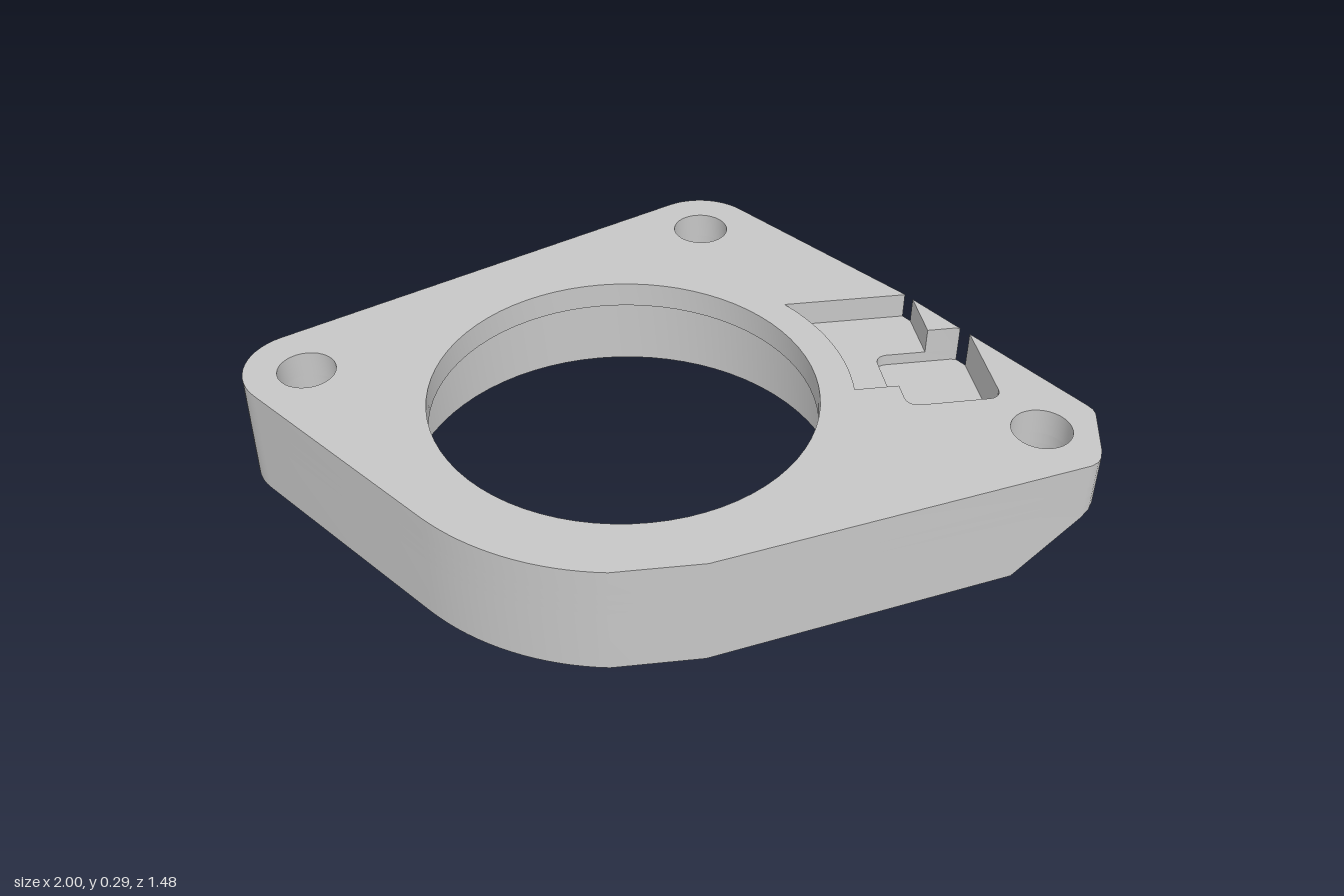
import * as THREE from 'three';
import { toCreasedNormals } from 'three/addons/utils/BufferGeometryUtils.js';

const BORE = [-0.092, 0.122];
const BOLTS = [[-0.845, -0.077], [0.214, -0.588], [0.853, 0.4]];
const Y = { seat: 0.165, deep: 0.19, shallow: 0.22, top: 0.287 };

// Points [x, z] along an arc, angles in degrees from +x towards +z
function arc([cx, cz], r, a0, a1, n = 10) {
  return Array.from({ length: n + 1 }, (_, i) => {
    const a = THREE.MathUtils.degToRad(a0 + (a1 - a0) * i / n);
    return [cx + r * Math.cos(a), cz + r * Math.sin(a)];
  });
}

const toVectors = (pts) => pts.map(([x, z]) => new THREE.Vector2(x, -z));

// Flange outline; "notch" is an optional run of points cutting into the right edge
function outline(notch = []) {
  return [
    ...arc([-0.845, -0.085], 0.155, 142, 244, 14),
    ...arc([0.215, -0.59], 0.152, 244, 324, 12),
    [0.68, -0.2], ...notch,
    [0.986, 0.322], [0.997, 0.344], [0.998, 0.362], [0.963, 0.495],
    [0.952, 0.52], [0.94, 0.535], [0.92, 0.545],
    [0.01, 0.737],
    ...arc([-0.095, 0.12], 0.624, 100, 142, 16),
  ];
}

// Horizontal slab between two heights, with round holes [centre, radius]
function slab(points, holes, y0, y1) {
  const shape = new THREE.Shape(toVectors(points));
  for (const [c, r] of holes) {
    const pts = arc(c, r, 360, 0, r > 0.3 ? 72 : 32).slice(0, -1);
    shape.holes.push(new THREE.Path(toVectors(pts)));
  }
  const geo = new THREE.ExtrudeGeometry(shape, { depth: y1 - y0, bevelEnabled: false });
  return geo.rotateX(-Math.PI / 2).translate(0, y0, 0);
}

// Cut every triangle along the line where dist(vertex) = 0
function splitAlong(geo, dist) {
  const pos = geo.attributes.position;
  const out = [];
  for (let t = 0; t < pos.count; t += 3) {
    const tri = [0, 1, 2].map((k) => new THREE.Vector3().fromBufferAttribute(pos, t + k));
    for (const side of [1, -1]) {
      const poly = [];
      tri.forEach((p, k) => {
        const q = tri[(k + 1) % 3], a = dist(p) * side, b = dist(q) * side;
        if (a >= 0) poly.push(p);
        if (a * b < 0) poly.push(p.clone().lerp(q, a / (a - b)));
      });
      for (let k = 1; k + 1 < poly.length; k++) {
        for (const v of [poly[0], poly[k], poly[k + 1]]) out.push(v.x, v.y, v.z);
      }
    }
  }
  const res = new THREE.BufferGeometry();
  res.setAttribute('position', new THREE.Float32BufferAttribute(out, 3));
  return res;
}

// Lower slab with its underside sloping up at the right corner
function lowerBody() {
  const dist = (p) => (p.x - 0.866) * 0.974 + (p.z - 0.12) * 0.227;
  const holes = [[BORE, 0.54], ...BOLTS.map((c) => [c, 0.128])];
  const geo = splitAlong(slab(outline(), holes, 0, Y.seat), dist);
  const pos = geo.attributes.position;
  const v = new THREE.Vector3();
  for (let i = 0; i < pos.count; i++) {
    v.fromBufferAttribute(pos, i);
    if (v.y < 0.001) pos.setY(i, Math.min(Y.seat - 0.002, 0.88 * Math.max(0, dist(v))));
  }
  return geo;
}

export function createModel() {
  const group = new THREE.Group();
  group.name = 'flange';
  const metal = new THREE.MeshStandardMaterial({ color: 0xc6c6c6 });
  metal.name = 'grey metal';
  const add = (name, geo) => {
    const mesh = new THREE.Mesh(toCreasedNormals(geo, 0.65), metal);
    mesh.name = name;
    group.add(mesh);
  };

  const bolts = BOLTS.map((c) => [c, 0.072]);
  const wide = [[BORE, 0.54], ...bolts];
  const narrow = [[BORE, 0.47], ...bolts];

  // Shared corners of the deep pocket, which just breaks through the edge
  const breakIn = [0.784, -0.0215], breakOut = [0.8, 0.0058];
  const pocketFront = [
    ...arc([0.598, 0.24], 0.03, 180, 90, 5),
    ...arc([0.77, 0.24], 0.03, 90, 0, 5),
    breakOut,
  ];
  const deepNotch = [
    breakIn, [0.77, -0.025],
    ...arc([0.598, 0.005], 0.03, 270, 180, 5),
    ...pocketFront,
  ];
  // Shallow recess follows the bore on its inner side
  const recessNotch = [
    [0.686, -0.19],
    ...arc(BORE, 0.555, -34.2, 7, 14),
    [0.568, 0.19],
    ...pocketFront,
  ];

  add('lowerBody', lowerBody());
  add('boltSeat', slab(outline(), wide, Y.seat, Y.deep));
  add('pocketLayer', slab(outline(deepNotch), wide, Y.deep, Y.shallow));
  add('topPlate', slab(outline(recessNotch), narrow, Y.shallow, Y.top));
  // Small post left standing between the recess and the deep pocket
  add('edgePost', slab([[0.7, -0.166], breakIn, [0.77, -0.025], [0.7, -0.025]], [], Y.shallow, Y.top));
  return group;
}
